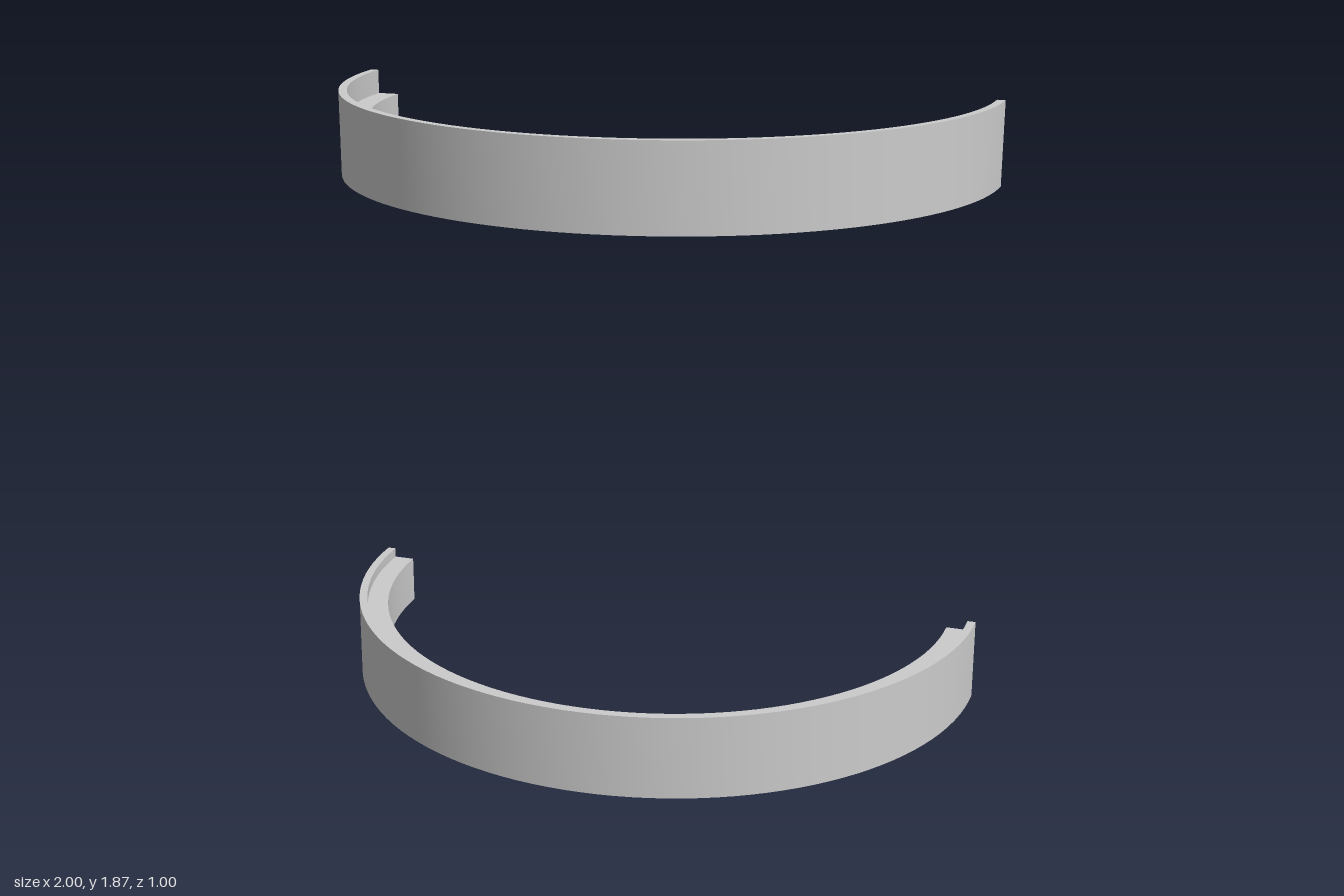
import * as THREE from 'three';
import { mergeGeometries, toCreasedNormals } from 'three/addons/utils/BufferGeometryUtils.js';

const HEIGHT = 0.25, OUTER = 1, WALL = 0.975, INNER = 0.91;

// Half ring: a thin outer wall with a thicker inner rib between two ledges
function halfRing(ribBottom, ribTop) {
  const profile = [
    [WALL, 0], [OUTER, 0], [OUTER, HEIGHT], [WALL, HEIGHT],
    [WALL, ribTop], [INNER, ribTop], [INNER, ribBottom], [WALL, ribBottom],
  ].map(([r, y]) => new THREE.Vector2(r, y));

  const sweep = new THREE.LatheGeometry([...profile, profile[0].clone()], 64, -Math.PI / 2, Math.PI);
  const parts = [toCreasedNormals(sweep, Math.PI / 6)];

  // Flat end caps facing the back
  for (const side of [-1, 1]) {
    const shape = new THREE.Shape(profile.map((p) => new THREE.Vector2(side * p.x, p.y)));
    parts.push(new THREE.ShapeGeometry(shape).rotateY(Math.PI).toNonIndexed());
  }
  return mergeGeometries(parts);
}

export function createModel() {
  const model = new THREE.Group();
  const material = new THREE.MeshStandardMaterial({ color: 0xcccccc });
  const low = 0.03, high = 0.073;

  // The two rings are upside-down copies of each other
  const rings = [
    ['lowerHalfRing', 0, high, HEIGHT - low],
    ['upperHalfRing', 1.62, low, HEIGHT - high],
  ];
  for (const [name, y, ribBottom, ribTop] of rings) {
    const ring = new THREE.Mesh(halfRing(ribBottom, ribTop), material);
    ring.name = name;
    ring.position.set(0, y, -0.5);
    model.add(ring);
  }
  return model;
}
